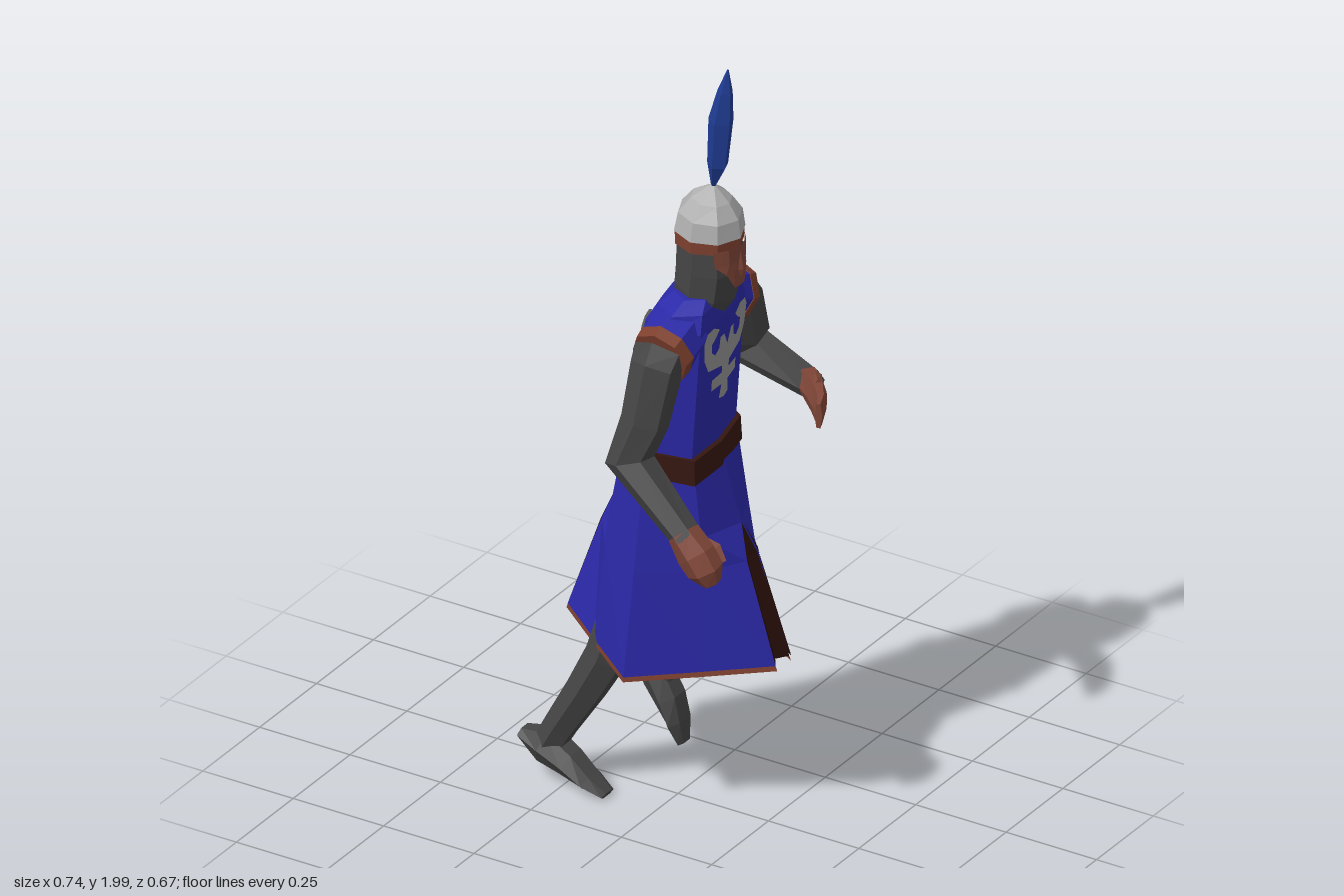
import * as THREE from 'three';

const mat = (name, color, side = THREE.FrontSide) => {
  const m = new THREE.MeshStandardMaterial({ color, side });
  m.name = name;
  return m;
};
const V = (x, y, z) => new THREE.Vector3(x, y, z);
const CZ = 0.02; // middle of the body across z
const TWIST = 0.12; // left side of the torso leads
const K_FRONT = 0.9, K_BACK = 0.84; // how flat the chest and back are
const CORNER = 0.7; // where the chest turns to the side

// Skin a list of equal-length rings with flat facets; closed rings get end caps
function loft(rings, closed = true) {
  const tri = [], n = rings[0].length;
  const add = (...ps) => ps.forEach((p) => tri.push(p.x, p.y, p.z));
  for (let i = 0; i < rings.length - 1; i++) {
    for (let j = 0; j < (closed ? n : n - 1); j++) {
      const k = (j + 1) % n, [a, b] = [rings[i], rings[i + 1]];
      add(a[j], a[k], b[k]);
      add(a[j], b[k], b[j]);
    }
  }
  if (closed) {
    const first = rings[0], last = rings[rings.length - 1];
    for (let j = 1; j < n - 1; j++) {
      add(first[0], first[j + 1], first[j]);
      add(last[0], last[j], last[j + 1]);
    }
  }
  const g = new THREE.BufferGeometry();
  g.setAttribute('position', new THREE.Float32BufferAttribute(tri, 3));
  g.computeVertexNormals();
  return g;
}

// Faceted tube through points [x, y, z, radius, sideways squash]
function limb(pts, sides = 6) {
  const c = pts.map((p) => V(p[0], p[1], p[2]));
  return loft(pts.map(([, , , r, w = 1], i) => {
    const d = V(0, 0, 0);
    if (i > 0) d.add(c[i].clone().sub(c[i - 1]).normalize());
    if (i < c.length - 1) d.add(c[i + 1].clone().sub(c[i]).normalize());
    d.normalize();
    const u = V(0, 0, 1).addScaledVector(d, -d.z).normalize();
    const v = d.clone().cross(u);
    return Array.from({ length: sides }, (_, j) => {
      const a = (j / sides) * Math.PI * 2;
      return c[i].clone().addScaledVector(u, r * w * Math.cos(a)).addScaledVector(v, r * Math.sin(a));
    });
  }));
}

// Eight-sided, slightly twisted body section, sloping down to the front by tilt
function bodyRing([y, xb, xf, hw], tilt = 0) {
  const m = (xb + xf) / 2, f = m + (xf - m) * K_FRONT, b = m + (xb - m) * K_BACK, c = CORNER;
  return [[m, 1], [f, c], [xf, 0], [f, -c], [m, -1], [b, -c], [xb, 0], [b, c]]
    .map(([x, z]) => V(x + TWIST * z * hw, y - tilt * (x - m), CZ + z * hw));
}

// Half of a skirt section, from the back slit round one side to the front slit
function skirtRing([y, xb, xf, hw, c, k, slit, lift], s) {
  const m = (xb + xf) / 2 - 0.01, twist = TWIST * (y - 0.415) / 0.56;
  return [[xb, slit, 1], [m + (xb - m) * k, hw * c, 0.5], [m, hw, 0],
    [m + (xf - m) * k, hw * c, 0.5], [xf, slit, 1]]
    .map(([x, z, l]) => V(x + twist * s * z, y + lift * l, CZ - 0.01 + s * z));
}

export function createModel() {
  const root = new THREE.Group();
  root.name = 'walkingKnight';
  const mail = mat('mailGrey', 0x454545);
  const blue = mat('tabardBlue', 0x2b29a8, THREE.DoubleSide);
  const skin = mat('skin', 0x804638, THREE.DoubleSide);
  const trim = mat('trimBrown', 0x7e402e, THREE.DoubleSide);
  const dark = mat('darkBrown', 0x260d08, THREE.DoubleSide);
  const leather = mat('beltLeather', 0x361710);
  const steel = mat('helmetSteel', 0xb0b0b0);
  const silver = mat('emblemSilver', 0x959595, THREE.DoubleSide);
  const feather = mat('plumeBlue', 0x1f3c94);
  const part = (name, geo, m) => {
    const mesh = new THREE.Mesh(geo, m);
    mesh.name = name;
    root.add(mesh);
  };

  // Tabard top and belt
  const waist = [1.0, -0.098, 0.122, 0.172], chest = [1.34, -0.03, 0.145, 0.172];
  part('tabardChest', loft([
    bodyRing(waist, 0.15), bodyRing(chest),
    bodyRing([1.385, 0.0, 0.14, 0.15]), bodyRing([1.408, 0.03, 0.13, 0.1]),
  ]), blue);
  part('belt', loft([
    bodyRing([0.96, -0.113, 0.137, 0.184], 0.2), bodyRing([1.022, -0.104, 0.134, 0.179], 0.2),
  ]), leather);

  // Tabard shoulders with a trim band round each armhole
  for (const s of [1, -1]) {
    const side = s > 0 ? 'left' : 'right', x = s > 0 ? 0.08 : 0.047, z = CZ + s * 0.175;
    part(side + 'Shoulder', limb([[x, 1.325, z - s * 0.085, 0.075], [x, 1.297, z, 0.075]], 8), blue);
    part(side + 'ArmholeTrim', limb([[x, 1.302, z - s * 0.016, 0.077], [x, 1.292, z + s * 0.014, 0.074]], 8), trim);
  }

  // Skirt in two halves with slits front and back, plus hem
  const panels = [
    [0.985, -0.098, 0.122, 0.173, 0.68, 0.88, 0, 0],
    [0.79, -0.161, 0.182, 0.196, 0.6, 0.74, 0, 0],
    [0.7, -0.191, 0.211, 0.205, 0.59, 0.67, 0.024, 0.006],
    [0.427, -0.28, 0.295, 0.228, 0.55, 0.52, 0.03, 0.025],
  ];
  const low = panels[3], hem = [0.415, -0.283, 0.3, 0.23, 0.55, 0.52, 0.03, 0.025];
  for (const s of [1, -1]) {
    const side = s > 0 ? 'left' : 'right';
    part(side + 'Skirt', loft(panels.map((r) => skirtRing(r, s)), false), blue);
    part(side + 'Hem', loft([low, hem].map((r) => skirtRing(r, s)), false), trim);
  }
  // Dark lining filling each slit, and a dark border beside it on the right half
  for (const [name, k, inset] of [['front', 2, -0.02], ['back', 1, 0.012]]) {
    part(name + 'Slit', loft(panels.slice(1).map((r) => {
      const [x, y, w] = [r[k], r[0] + r[7], r[6]];
      return [V(x, y, 0.01 + w), V(x + inset * (w / 0.03), y, 0.01), V(x, y, 0.01 - w)];
    }), false), dark);
    part(name + 'SlitBorder', loft(panels.slice(1).map((r, i) => {
      const ring = skirtRing(r, -1), [edge, corner] = k === 2 ? [ring[4], ring[3]] : [ring[0], ring[1]];
      const out = V(k === 2 ? 0.003 : -0.003, 0, -0.004);
      return [edge.clone().add(out), edge.clone().lerp(corner, [0, 0.22, 0.24][i]).add(out)];
    }), false), dark);
  }

  // Silver emblem on chest and back, each as two mirrored halves
  const half = new THREE.Shape([
    [0, 1.12], [0.024, 1.125], [0.016, 1.16], [0.064, 1.163], [0.064, 1.192], [0.018, 1.193],
    [0.02, 1.212], [0.085, 1.226], [0.108, 1.265], [0.114, 1.315], [0.1, 1.336], [0.07, 1.338], [0.042, 1.322],
    [0.06, 1.305], [0.076, 1.295], [0.074, 1.272], [0.056, 1.258], [0.038, 1.27], [0.036, 1.298], [0.018, 1.3], [0, 1.265],
  ].map(([x, y]) => new THREE.Vector2(x, y)));
  for (const back of [false, true]) {
    for (const s of [1, -1]) {
      const g = new THREE.ShapeGeometry(half), p = g.attributes.position;
      for (let i = 0; i < p.count; i++) {
        const z = p.getX(i), y = p.getY(i), t = (y - waist[0]) / (chest[0] - waist[0]);
        const mix = (k) => THREE.MathUtils.lerp(waist[k], chest[k], t);
        const m = (mix(1) + mix(2)) / 2, edge = mix(back ? 1 : 2);
        const bend = (1 - (back ? K_BACK : K_FRONT)) * (z / (mix(3) * CORNER));
        const x = edge + (m - edge) * bend + TWIST * s * z;
        p.setXYZ(i, x + (back ? -0.009 : 0.009), y, CZ + s * z);
      }
      g.computeVertexNormals();
      part(back ? 'backEmblem' : 'chestEmblem', g, silver);
    }
  }

  // Head: mail hood, brow band, helmet and plume
  const hx = 0.103, hz = 0.025;
  part('mailHood', limb([
    [0.08, 1.37, hz, 0.066], [0.095, 1.41, hz, 0.079], [hx, 1.47, hz, 0.081], [hx, 1.54, hz, 0.079],
  ], 8), mail);
  part('browBand', limb([[hx, 1.53, hz, 0.083], [hx, 1.566, hz, 0.084]], 8), trim);
  part('helmet', limb([
    [hx, 1.562, hz, 0.086], [0.105, 1.61, hz, 0.078], [0.109, 1.648, hz, 0.05], [0.114, 1.682, hz, 0.004],
  ], 8), steel);
  part('plume', limb([
    [0.113, 1.675, 0.025, 0.005], [0.127, 1.74, 0.027, 0.026], [0.137, 1.86, 0.028, 0.031],
    [0.148, 1.94, 0.028, 0.019], [0.155, 2.0, 0.027, 0.002],
  ], 5), feather);

  // Face plate and nose
  part('face', loft([[1.435, 14], [1.475, 30], [1.5, 50], [1.54, 52]].map(([y, deg]) =>
    [1, 0.5, 0, -0.5, -1].map((f) => {
      const a = THREE.MathUtils.degToRad(deg) * f;
      return V(hx + 0.086 * Math.cos(a), y, hz + 0.086 * Math.sin(a));
    })), false), skin);
  part('nose', limb([[0.182, 1.462, hz, 0.01], [0.185, 1.478, hz, 0.012], [0.182, 1.53, hz, 0.006]], 4), skin);

  // Left arm, hanging forward with a closed hand
  part('leftArm', limb([
    [0.08, 1.297, 0.195, 0.07], [0.08, 1.272, 0.222, 0.063], [0.065, 1.14, 0.248, 0.058],
    [0.035, 1.035, 0.268, 0.059], [0.21, 0.885, 0.29, 0.038],
  ]), mail);
  part('leftHand', limb([
    [0.195, 0.897, 0.288, 0.04], [0.235, 0.85, 0.293, 0.052, 0.75], [0.26, 0.815, 0.292, 0.048, 0.8], [0.272, 0.785, 0.285, 0.026],
  ]), skin);
  part('leftThumb', limb([[0.235, 0.875, 0.265, 0.016], [0.265, 0.86, 0.253, 0.016], [0.288, 0.83, 0.258, 0.01]], 4), skin);

  // Right arm, bent across the body with an open hand
  part('rightArm', limb([
    [0.047, 1.297, -0.155, 0.07], [0.047, 1.272, -0.185, 0.062], [0.038, 1.15, -0.24, 0.055],
    [0.018, 1.085, -0.278, 0.056], [0.265, 1.1, -0.168, 0.036],
  ]), mail);
  part('rightHand', limb([
    [0.25, 1.1, -0.177, 0.04, 0.8], [0.305, 1.103, -0.125, 0.05, 0.5],
    [0.342, 1.1, -0.08, 0.045, 0.35], [0.36, 1.1, -0.045, 0.037, 0.25],
  ]), skin);
  part('rightThumb', limb([[0.27, 1.125, -0.165, 0.016], [0.295, 1.143, -0.14, 0.014], [0.315, 1.145, -0.115, 0.008]], 4), skin);

  // Left leg trailing, right leg lifted
  part('leftLeg', limb([
    [0.01, 0.92, 0.1, 0.075], [-0.09, 0.5, 0.1, 0.058], [-0.13, 0.39, 0.1, 0.055],
    [-0.19, 0.28, 0.1, 0.049], [-0.262, 0.16, 0.1, 0.042], [-0.295, 0.1, 0.1, 0.04],
  ]), mail);
  part('leftFoot', limb([
    [-0.365, 0.115, 0.1, 0.016, 1.8], [-0.3, 0.1, 0.1, 0.048], [-0.235, 0.07, 0.1, 0.036, 1.3],
    [-0.18, 0.037, 0.1, 0.021, 2.1], [-0.132, 0.013, 0.1, 0.009, 3],
  ]), mail);
  part('rightLeg', limb([
    [0.02, 0.92, -0.06, 0.075], [0.095, 0.54, -0.06, 0.056], [0.1, 0.46, -0.06, 0.054],
    [0.02, 0.375, -0.06, 0.048], [-0.1, 0.27, -0.06, 0.035],
  ]), mail);
  part('rightFoot', limb([
    [-0.13, 0.3, -0.06, 0.018, 1.8], [-0.093, 0.272, -0.06, 0.042], [-0.06, 0.22, -0.06, 0.036, 1.3],
    [-0.036, 0.165, -0.06, 0.022, 2.2], [-0.021, 0.112, -0.06, 0.009, 3],
  ]), mail);

  return root;
}
